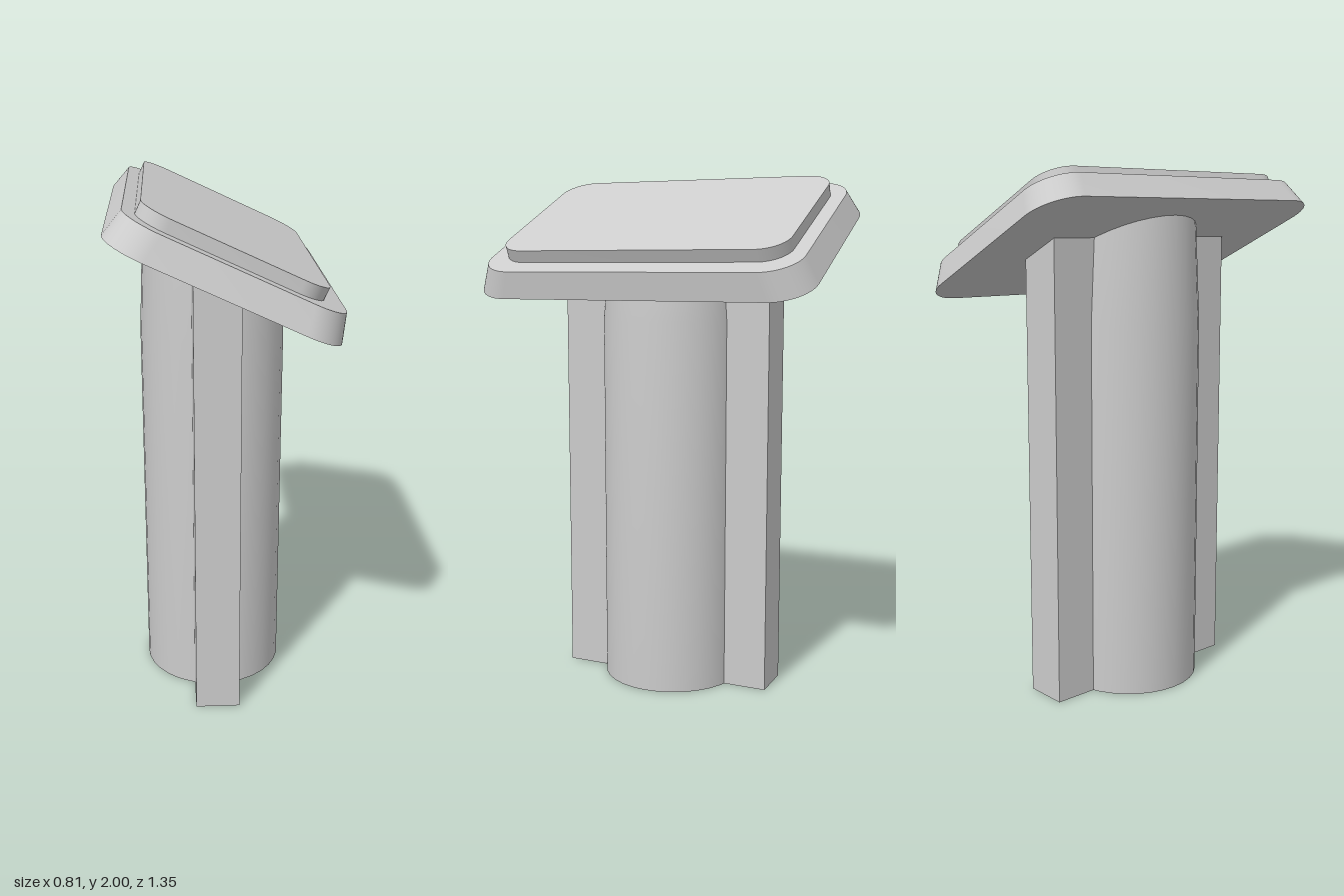
import * as THREE from 'three';
import { toCreasedNormals } from 'three/addons/utils/BufferGeometryUtils.js';

const TILT = 0.435; // slope of the head, radians
const HEAD = new THREE.Vector3(-0.009, 1.709, 0); // centre of the head's underside
const material = new THREE.MeshStandardMaterial({ color: 0xcccccc });

// Height of the sloped cut, slightly inside the head plate
const cutHeight = (x) => HEAD.y + 0.01 - Math.tan(TILT) * (x - HEAD.x);

function addMesh(parent, name, geometry) {
  const mesh = new THREE.Mesh(toCreasedNormals(geometry, 0.6), material);
  mesh.name = name;
  parent.add(mesh);
  return mesh;
}

// Rounded rectangular slab standing on y = 0, its top scaled by (topX, topZ)
function slab(halfX, halfZ, radius, height, topX = 1, topZ = 1) {
  const s = new THREE.Shape();
  const x = halfX - radius, z = halfZ - radius;
  s.absarc(x, z, radius, 0, Math.PI / 2);
  s.absarc(-x, z, radius, Math.PI / 2, Math.PI);
  s.absarc(-x, -z, radius, Math.PI, Math.PI * 1.5);
  s.absarc(x, -z, radius, Math.PI * 1.5, Math.PI * 2);
  const g = new THREE.ExtrudeGeometry(s, { depth: height, bevelEnabled: false, curveSegments: 8 });
  g.rotateX(-Math.PI / 2);
  const p = g.attributes.position;
  for (let i = 0; i < p.count; i++) {
    if (p.getY(i) > height / 2) {
      p.setX(i, p.getX(i) * topX);
      p.setZ(i, p.getZ(i) * topZ);
    }
  }
  return g;
}

export function createModel() {
  const model = new THREE.Group();
  const postX = -0.025;

  // Round post: straight, then slightly tapered up to the sloped cut
  const post = new THREE.CylinderGeometry(0.275, 0.275, 2, 32, 2).translate(0, 1, 0);
  const p = post.attributes.position;
  for (let i = 0; i < p.count; i++) {
    const y = p.getY(i);
    if (y > 1.5) {
      const x = p.getX(i) * 0.94;
      p.setXYZ(i, x, cutHeight(x + postX), p.getZ(i) * 0.94);
    } else if (y > 0.5) {
      p.setY(i, 1.44);
    }
  }
  addMesh(model, 'post', post).position.x = postX;

  // Flat rib running through the post, front to back
  const rib = new THREE.BoxGeometry(0.17, 2, 0.86).translate(0, 1, 0);
  const r = rib.attributes.position;
  for (let i = 0; i < r.count; i++) {
    if (r.getY(i) > 1) r.setY(i, cutHeight(r.getX(i) + postX));
  }
  addMesh(model, 'rib', rib).position.x = postX;

  // Tilted head: bevelled plate with a raised pad
  const head = new THREE.Group();
  head.name = 'head';
  head.position.copy(HEAD);
  head.rotation.z = -TILT;
  model.add(head);
  addMesh(head, 'headPlate', slab(0.439, 0.675, 0.15, 0.1, 0.412 / 0.439, 0.635 / 0.675));
  addMesh(head, 'raisedPad', slab(0.3475, 0.577, 0.11, 0.05)).position.set(-0.018, 0.098, 0);

  return model;
}
